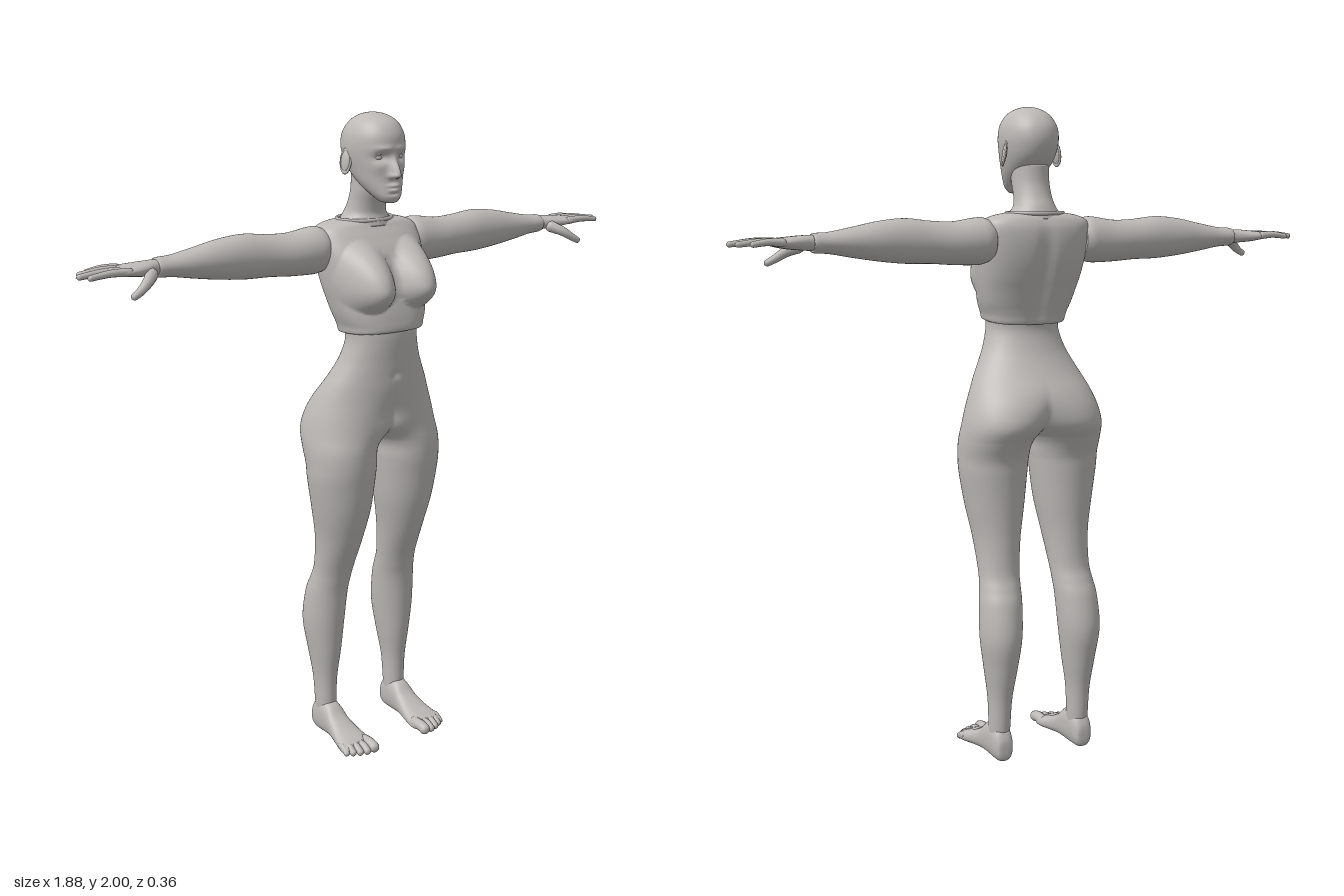
import * as THREE from 'three';
import { mergeVertices } from 'three/addons/utils/BufferGeometryUtils.js';

const skin = new THREE.MeshStandardMaterial({ color: 0xbcb9b6 });
skin.name = 'matte grey';

// Smooth interpolation through rows of numbers, u in 0..1
function at(rows, u) {
  const n = rows.length - 1, s = Math.min(u * n, n - 1e-9), i = Math.floor(s), t = s - i;
  const p0 = rows[Math.max(i - 1, 0)], p1 = rows[i], p2 = rows[i + 1], p3 = rows[Math.min(i + 2, n)];
  return p1.map((b, k) => b + 0.5 * t * (p2[k] - p0[k]
    + t * (2 * p0[k] - 5 * b + 4 * p2[k] - p3[k] + t * (3 * (b - p2[k]) + p3[k] - p0[k]))));
}

// Weld, turn faces outward and smooth
function finish(geo) {
  geo.deleteAttribute('uv');
  geo.deleteAttribute('normal');
  const g = mergeVertices(geo, 1e-5), p = g.attributes.position, ix = g.index.array;
  const a = new THREE.Vector3(), b = new THREE.Vector3(), c = new THREE.Vector3();
  let volume = 0;
  for (let i = 0; i < ix.length; i += 3) {
    a.fromBufferAttribute(p, ix[i]);
    b.fromBufferAttribute(p, ix[i + 1]);
    c.fromBufferAttribute(p, ix[i + 2]);
    volume += a.dot(b.cross(c));
  }
  if (volume < 0) for (let i = 0; i < ix.length; i += 3) [ix[i], ix[i + 1]] = [ix[i + 1], ix[i]];
  g.computeVertexNormals();
  return g;
}

const alongY = (t, a, b) => new THREE.Vector3(a, t, b);   // a = x, b = z
const alongX = (t, a, b) => new THREE.Vector3(t, b, a);   // a = z, b = y
const alongZ = (t, a, b) => new THREE.Vector3(a, b, t);   // a = x, b = y

// Skin over oval sections given as [t, aMin, aMax, bMin, bMax]; half cuts them at x = 0
function loft(sections, { rows = 60, seg = 48, p = 2, map = alongY, bump, half = false }) {
  const pos = [], idx = [], pw = (v) => Math.sign(v) * Math.abs(v) ** (2 / p);
  const add = (v) => { if (bump) bump(v); pos.push(v.x, v.y, v.z); };
  for (let j = 0; j <= rows; j++) {
    const [t, a0, a1, b0, b1] = at(sections, j / rows);
    const ca = (a0 + a1) / 2, ra = (a1 - a0) / 2, cb = (b0 + b1) / 2, rb = (b1 - b0) / 2;
    const arc = half ? Math.acos(THREE.MathUtils.clamp(-ca / ra, -1, 1)) : Math.PI;
    for (let i = 0; i <= seg; i++) {
      const th = arc * (2 * i / seg - 1);
      add(map(t, ca + ra * pw(Math.cos(th)), cb + rb * pw(Math.sin(th))));
      if (i < seg && j < rows) {
        const k = j * (seg + 1) + i, m = k + seg + 1;
        idx.push(k, m, k + 1, k + 1, m, m + 1);
      }
    }
  }
  if (!half) for (const j of [0, rows]) {
    const s = sections[j ? sections.length - 1 : 0], c = pos.length / 3;
    add(map(s[0], (s[1] + s[2]) / 2, (s[3] + s[4]) / 2));
    for (let i = 0; i < seg; i++) {
      const k = j * (seg + 1) + i;
      idx.push(...(j ? [k, c, k + 1] : [k, k + 1, c]));
    }
  }
  const g = new THREE.BufferGeometry();
  g.setAttribute('position', new THREE.Float32BufferAttribute(pos, 3));
  g.setIndex(idx);
  return finish(g);
}

// Round-ended tapering tube
function digit(points, r0, r1) {
  const curve = new THREE.CatmullRomCurve3(points.map((q) => new THREE.Vector3(...q)));
  const n = 24, m = 14, g = new THREE.TubeGeometry(curve, n, 1, m), p = g.attributes.position;
  const len = curve.getLength(), v = new THREE.Vector3();
  for (let j = 0; j <= n; j++) {
    const u = j / n, c = curve.getPointAt(u), r = r0 + (r1 - r0) * u;
    const e = Math.max(0, 1 - Math.min(u, 1 - u) * len / r);
    for (let i = 0; i <= m; i++) {
      const k = j * (m + 1) + i;
      v.fromBufferAttribute(p, k).sub(c).multiplyScalar(r * Math.sqrt(Math.max(0, 1 - e * e))).add(c);
      p.setXYZ(k, v.x, v.y, v.z);
    }
  }
  return finish(g);
}

const hill = (x, y, cx, cy, sx, sy) => Math.exp(-(((x - cx) / sx) ** 2) - ((y - cy) / sy) ** 2);

function faceBump(v) {
  if (v.z < 0.02) return;
  const x = Math.abs(v.x), y = v.y, fade = Math.min(1, (v.z - 0.02) / 0.04);
  const s = THREE.MathUtils.smoothstep;
  const nose = (1 - s(y, 1.828, 1.892)) * s(y, 1.812, 1.826);
  v.z += fade * (0.03 * nose * Math.exp(-((x / (0.009 + 0.006 * nose)) ** 2))
    + 0.007 * hill(x, y, 0.013, 1.824, 0.007, 0.008)
    - 0.014 * hill(x, y, 0.034, 1.877, 0.02, 0.014)
    + 0.005 * hill(x, y, 0.03, 1.903, 0.026, 0.008)
    + 0.004 * hill(x, y, 0.05, 1.848, 0.018, 0.018)
    + 0.009 * hill(x, y, 0, 1.797, 0.018, 0.005)
    + 0.009 * hill(x, y, 0, 1.784, 0.015, 0.006)
    - 0.004 * hill(x, y, 0, 1.773, 0.018, 0.005));
}

function chestBump(v) {
  const x = Math.abs(v.x), dx = (x - 0.085) / 0.082, dy = v.y - 1.508;
  const r2 = dx * dx + (dy / (dy > 0 ? 0.13 : 0.078)) ** 2;
  if (v.z > 0 && r2 < 1) v.z += 0.082 * (1 - r2) ** 1.1;
  if (v.z < -0.04) v.z += 0.014 * hill(x, v.y, 0, 1.5, 0.025, 0.13);
  if (v.y < 1.4) v.y += 0.08 * v.z * (1.4 - v.y) / 0.04;
}

function hipBump(v) {
  if (v.z > 0) v.z += 0.02 * hill(v.x, v.y, 0, 1.06, 0.05, 0.04) - 0.006 * hill(v.x, v.y, 0, 1.235, 0.01, 0.012);
}

export function createModel() {
  const model = new THREE.Group();
  model.name = 'figure';
  const add = (name, geo) => {
    const mesh = new THREE.Mesh(geo, skin);
    mesh.name = name;
    model.add(mesh);
  };
  const pair = (name, geo) => {
    add('left' + name, geo);
    add('right' + name, finish(geo.clone().scale(-1, 1, 1)));
  };
  const sym = (rows) => rows.map(([y, x, z0, z1]) => [y, -x, x, z0, z1]);

  // Head with modelled face
  add('head', loft(sym([[1.745, 0.012, 0.06, 0.09], [1.75, 0.026, 0.04, 0.101], [1.765, 0.04, 0.015, 0.107],
    [1.785, 0.053, -0.02, 0.104], [1.81, 0.065, -0.055, 0.1], [1.84, 0.074, -0.09, 0.1], [1.87, 0.081, -0.108, 0.101],
    [1.905, 0.085, -0.116, 0.102], [1.94, 0.081, -0.11, 0.098], [1.97, 0.066, -0.088, 0.08], [1.988, 0.045, -0.06, 0.053],
    [1.997, 0.023, -0.032, 0.022], [2, 0.001, -0.006, -0.004]]), { rows: 110, seg: 128, p: 2.1, bump: faceBump }));
  pair('Eye', finish(new THREE.SphereGeometry(0.016, 24, 16).scale(1.1, 0.75, 1).translate(0.034, 1.877, 0.066)));
  pair('Eyelid', digit([[0.016, 1.876, 0.079], [0.026, 1.886, 0.084], [0.038, 1.888, 0.081], [0.052, 1.88, 0.068]], 0.003, 0.003));
  const ear = (g) => finish(g.rotateX(-0.15).rotateY(1.2).translate(0.086, 1.862, -0.022));
  pair('Ear', ear(new THREE.SphereGeometry(1, 24, 16).scale(0.017, 0.033, 0.007)));
  pair('EarRim', ear(new THREE.TorusGeometry(0.017, 0.0035, 10, 32).scale(1, 1.9, 1)));

  // Neck and its base seam
  add('neck', loft(sym([[1.67, 0.088, -0.125, 0.025], [1.69, 0.076, -0.118, 0.02], [1.71, 0.063, -0.11, 0.016],
    [1.74, 0.057, -0.095, 0.024], [1.78, 0.056, -0.083, 0.04], [1.83, 0.056, -0.08, 0.045]]), { rows: 30 }));
  add('collar', finish(new THREE.TorusGeometry(0.08, 0.006, 10, 64).rotateX(Math.PI / 2)
    .scale(1.1, 1, 0.86).translate(0, 1.687, -0.052)));

  // Upper torso shell
  add('chest', loft(sym([[1.358, 0.112, -0.06, 0.125], [1.362, 0.124, -0.073, 0.136], [1.385, 0.13, -0.08, 0.137],
    [1.42, 0.143, -0.092, 0.132], [1.46, 0.153, -0.106, 0.122], [1.5, 0.161, -0.121, 0.11], [1.55, 0.168, -0.135, 0.095],
    [1.6, 0.173, -0.141, 0.074], [1.64, 0.173, -0.139, 0.046], [1.665, 0.165, -0.13, 0.026], [1.68, 0.135, -0.118, 0.014],
    [1.69, 0.08, -0.1, 0]]), { rows: 90, seg: 128, p: 2.6, bump: chestBump }));

  // Waist, hip and leg in one skin per side
  const lower = loft([[1.42, -0.118, 0.118, -0.06, 0.12], [1.37, -0.116, 0.116, -0.058, 0.126], [1.33, -0.118, 0.118, -0.055, 0.125],
    [1.28, -0.133, 0.133, -0.07, 0.12], [1.24, -0.15, 0.152, -0.09, 0.117], [1.2, -0.165, 0.173, -0.116, 0.115],
    [1.15, -0.13, 0.196, -0.149, 0.108], [1.1, -0.08, 0.214, -0.168, 0.103], [1.05, -0.035, 0.225, -0.17, 0.102],
    [1, 0.003, 0.23, -0.142, 0.105], [0.95, 0.01, 0.229, -0.119, 0.105], [0.9, 0.015, 0.226, -0.113, 0.1],
    [0.8, 0.027, 0.21, -0.107, 0.085], [0.7, 0.045, 0.192, -0.105, 0.055], [0.6, 0.058, 0.186, -0.112, 0.015],
    [0.55, 0.062, 0.19, -0.13, 0], [0.5, 0.065, 0.197, -0.15, -0.01], [0.4, 0.072, 0.2, -0.167, -0.018],
    [0.3, 0.085, 0.187, -0.151, -0.027], [0.2, 0.1, 0.174, -0.13, -0.04], [0.1, 0.105, 0.17, -0.12, -0.044],
    [0.05, 0.11, 0.166, -0.112, -0.05]], { rows: 130, seg: 56, half: true, bump: hipBump });
  const mirrored = finish(lower.clone().scale(-1, 1, 1));
  for (const g of [lower, mirrored]) {
    // blend shading across the centre line
    const p = g.attributes.position, n = g.attributes.normal, v = new THREE.Vector3();
    for (let i = 0; i < p.count; i++) if (Math.abs(p.getX(i)) < 1e-4 && p.getY(i) > 1.01) {
      v.fromBufferAttribute(n, i).setX(0).normalize();
      n.setXYZ(i, v.x, v.y, v.z);
    }
  }
  add('leftHipAndLeg', lower);
  add('rightHipAndLeg', mirrored);

  // Feet and toes
  pair('Foot', loft([[-0.132, 0.128, 0.148, 0.03, 0.055], [-0.128, 0.115, 0.162, 0.012, 0.08], [-0.11, 0.107, 0.17, 0.003, 0.11],
    [-0.075, 0.104, 0.172, 0.002, 0.125], [-0.035, 0.101, 0.174, 0.005, 0.112], [0, 0.097, 0.179, 0.008, 0.083],
    [0.045, 0.089, 0.188, 0.006, 0.06], [0.085, 0.084, 0.196, 0.003, 0.047], [0.108, 0.087, 0.195, 0.006, 0.038],
    [0.118, 0.1, 0.185, 0.015, 0.028]], { map: alongZ, p: 2.4 }));
  [[0.102, 0.157, 0.018], [0.128, 0.152, 0.0125], [0.15, 0.144, 0.012], [0.17, 0.133, 0.0115], [0.187, 0.12, 0.0105]]
    .forEach(([x, z, r], i) => pair('Toe' + (i + 1),
      digit([[x, 0.026, 0.07], [x, 0.029, z - 0.03], [x, r + 0.001, z]], r, r * 0.95)));

  // Arms with open cuffs at the wrist
  pair('Arm', loft([[0.15, -0.11, 0.008, 1.55, 1.665], [0.172, -0.118, 0.015, 1.54, 1.675], [0.2, -0.119, 0.016, 1.536, 1.675],
    [0.27, -0.117, 0.012, 1.538, 1.665], [0.34, -0.113, 0.005, 1.543, 1.667], [0.42, -0.111, 0.001, 1.545, 1.675],
    [0.5, -0.108, -0.003, 1.553, 1.668], [0.58, -0.1, -0.01, 1.565, 1.652], [0.65, -0.093, -0.018, 1.577, 1.639],
    [0.695, -0.091, -0.022, 1.58, 1.636], [0.7, -0.085, -0.028, 1.586, 1.63]], { map: alongX, rows: 80 }));

  // Hands
  pair('Palm', loft([[0.68, -0.082, -0.03, 1.588, 1.63], [0.705, -0.084, -0.027, 1.587, 1.631], [0.735, -0.092, -0.016, 1.589, 1.63],
    [0.77, -0.104, -0.007, 1.592, 1.627], [0.8, -0.109, -0.003, 1.597, 1.624], [0.818, -0.105, -0.005, 1.602, 1.62],
    [0.824, -0.095, -0.015, 1.608, 1.615]], { map: alongX, p: 2.3, rows: 36 }));
  [['LittleFinger', -0.098, -0.105, 0.89], ['RingFinger', -0.072, -0.078, 0.925],
    ['MiddleFinger', -0.044, -0.045, 0.94], ['IndexFinger', -0.016, -0.012, 0.922]].forEach(([name, z0, z1, tip]) =>
    pair(name, digit([[0.785, 1.611, z0], [(0.785 + tip) / 2, 1.614, (z0 + z1) / 2], [tip, 1.607, z1]], 0.0125, 0.008)));
  pair('Thumb', digit([[0.718, 1.603, -0.034], [0.755, 1.583, 0.006], [0.785, 1.563, 0.02], [0.815, 1.547, 0.025]], 0.02, 0.009));
  return model;
}
